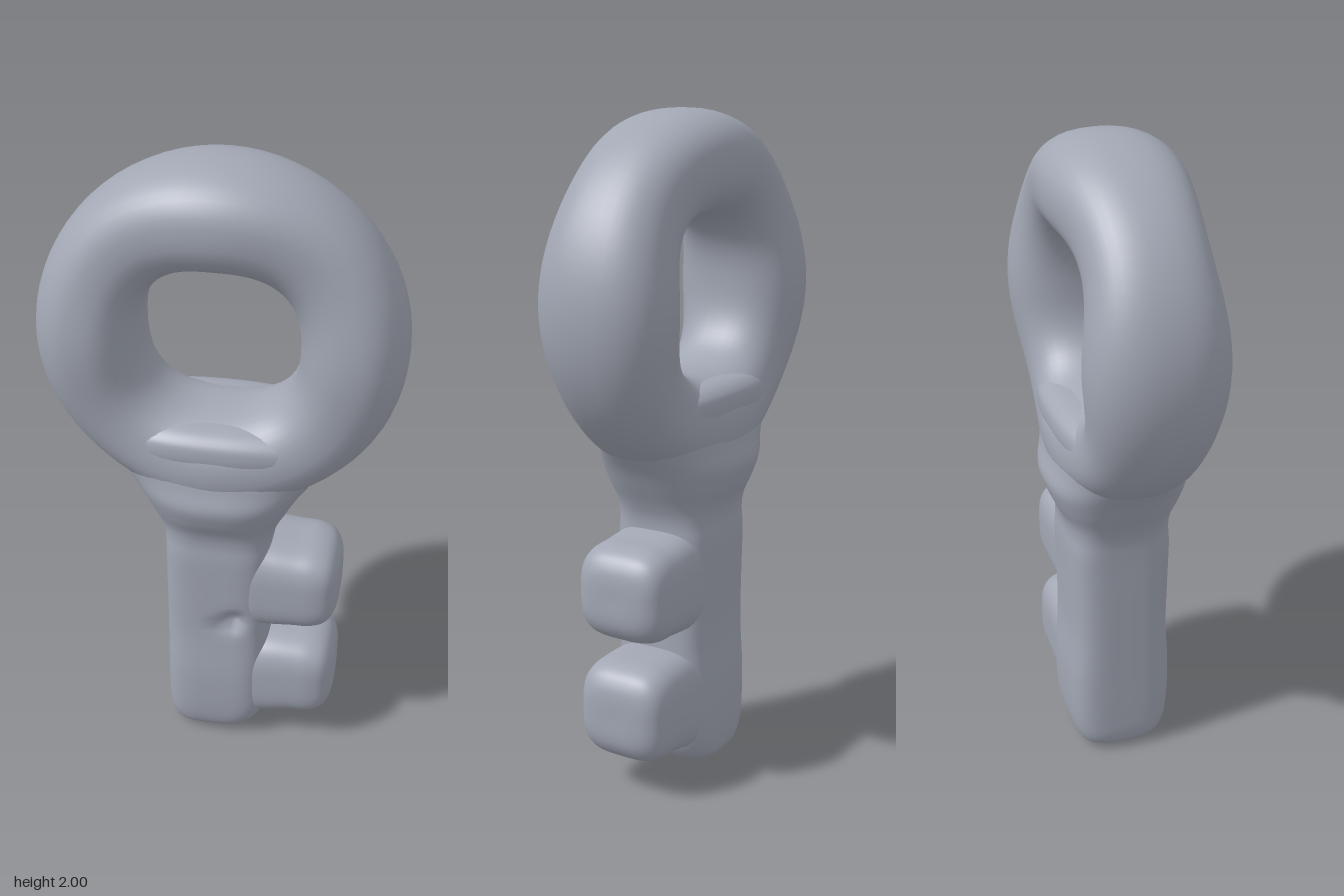
import * as THREE from 'three';

const metal = new THREE.MeshStandardMaterial({ color: 0xa2a7b4 });
metal.name = 'grey metal';

// Small pit on the front face where the upper tooth meets the shaft
const pit = (x, y, z) =>
  z > 0.1 ? z - 0.045 * Math.exp(-((x - 0.06) ** 2 + (y - 0.505) ** 2) / 0.0009) : z;

// Point on a superellipse: n = 2 is an ellipse, larger n is squarer
function superellipse(v, a, b, n) {
  const c = Math.cos(v), s = Math.sin(v);
  return [a * Math.sign(c) * Math.abs(c) ** (2 / n), b * Math.sign(s) * Math.abs(s) ** (2 / n)];
}

// Smooth skin over a grid of points, closed in v and optionally in u
function skin(name, nu, nv, closedU, point) {
  const pos = [], idx = [];
  const rows = closedU ? nu : nu + 1;
  for (let i = 0; i < rows; i++) {
    for (let j = 0; j < nv; j++) {
      const [x, y, z] = point(i / nu, (j / nv) * Math.PI * 2);
      pos.push(x, y, pit(x, y, z));
    }
  }
  for (let i = 0; i < nu; i++) {
    for (let j = 0; j < nv; j++) {
      const k = (i + 1) % rows, l = (j + 1) % nv;
      const a = i * nv + j, b = k * nv + j, c = k * nv + l, d = i * nv + l;
      idx.push(a, b, d, b, c, d);
    }
  }
  const g = new THREE.BufferGeometry();
  g.setAttribute('position', new THREE.Float32BufferAttribute(pos, 3));
  g.setIndex(idx);
  g.computeVertexNormals();
  const mesh = new THREE.Mesh(g, metal);
  mesh.name = name;
  return mesh;
}

// Loft through sections [position, centre, halfWidth, halfDepth, squareness]
function loft(name, sections, place) {
  const last = sections.length - 1;
  const at = (u) => {
    const f = u * last, i = Math.min(Math.floor(f), last - 1), t = f - i;
    const [p, q, r, s] = [i - 1, i, i + 1, i + 2].map((k) => sections[Math.max(0, Math.min(last, k))]);
    return q.map((_, k) => 0.5 * (2 * q[k] + (r[k] - p[k]) * t
      + (2 * p[k] - 5 * q[k] + 4 * r[k] - s[k]) * t * t
      + (3 * q[k] - p[k] - 3 * r[k] + s[k]) * t * t * t));
  };
  return skin(name, last * 6, 72, false, (u, v) => {
    const [t, c, a, b, n] = at(u);
    const [p, q] = superellipse(v, Math.max(a, 0), Math.max(b, 0), n);
    return place(t, c + p, q);
  });
}

export function createModel() {
  const key = new THREE.Group();
  key.name = 'key';

  // Bow: thick ring with a slightly square hole and a softly wavy thickness
  key.add(skin('bow', 72, 40, true, (u, v) => {
    const th = u * Math.PI * 2;
    const c = Math.cos(th), s = Math.sin(th);
    const inner = 0.228 / (Math.abs(c) ** 2.5 + Math.abs(s) ** 2.5) ** (1 / 2.5);
    const outer = 0.53;
    const depth = 0.185 + 0.014 * Math.cos(4 * th);
    const [p, q] = superellipse(v, (outer - inner) / 2, depth, 2.35);
    const r = (outer + inner) / 2 + p;
    return [r * c, 1.47 + r * s, q];
  }));

  // Shaft flaring into the neck below the bow
  key.add(loft('shaftAndNeck', [
    [0.004, -0.03, 0, 0, 3],
    [0.004, -0.03, 0.07, 0.08, 3],
    [0.02, -0.03, 0.115, 0.125, 3.2],
    [0.06, -0.012, 0.15, 0.15, 3.6],
    [0.14, 0, 0.165, 0.162, 4],
    [0.28, 0, 0.165, 0.165, 4],
    [0.44, 0, 0.165, 0.155, 4],
    [0.6, 0, 0.165, 0.157, 4],
    [0.74, 0, 0.165, 0.16, 4],
    [0.81, 0, 0.169, 0.158, 3.6],
    [0.86, 0, 0.187, 0.168, 3],
    [0.92, 0, 0.22, 0.196, 2.6],
    [0.98, 0, 0.255, 0.213, 2.4],
    [1.04, 0, 0.3, 0.198, 2.4],
    [1.1, 0, 0.345, 0.187, 2.4],
    [1.16, 0, 0.37, 0.192, 2.4],
    [1.2, 0, 0.34, 0.18, 2.4],
    [1.225, 0, 0.24, 0.13, 2.4],
    [1.23, 0, 0, 0, 2.4],
  ], (y, x, z) => [x, y, z]));

  // Two blunt teeth on one side of the shaft
  const tooth = (name, y, h, rootDrop) => loft(name, [
    [0, y - rootDrop, h + 0.01, 0.13, 3],
    [0.1, y - rootDrop, h + 0.015, 0.148, 3.2],
    [0.17, y - rootDrop * 0.4, h + 0.008, 0.15, 3.4],
    [0.24, y, h, 0.15, 3.4],
    [0.3, y, h - 0.004, 0.148, 3.4],
    [0.345, y, h - 0.022, 0.135, 3.4],
    [0.37, y, h - 0.055, 0.105, 3.2],
    [0.379, y, h - 0.095, 0.06, 3],
    [0.379, y, 0, 0, 3],
  ], (x, py, z) => [x, py, -z]);
  key.add(tooth('upperTooth', 0.627, 0.148, 0));
  key.add(tooth('lowerTooth', 0.258, 0.153, 0.02));

  return key;
}
